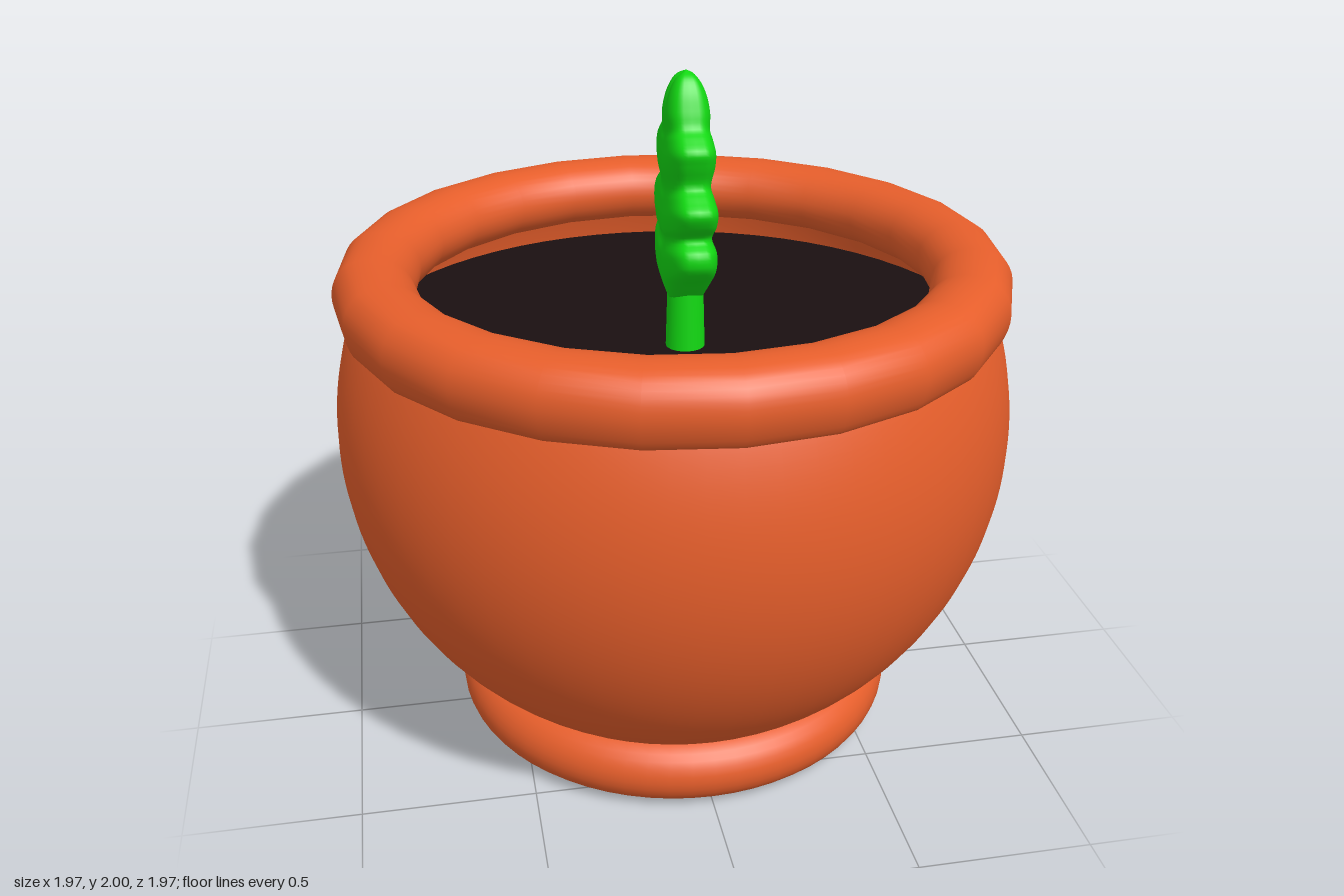
import * as THREE from 'three';

const clay = new THREE.MeshStandardMaterial({ color: 0xe65e2b, side: THREE.DoubleSide });
const earth = new THREE.MeshStandardMaterial({ color: 0x1a1011 });
const green = new THREE.MeshStandardMaterial({ color: 0x12d812 });

// Points along a circular arc in the (radius, height) plane
function arc(cx, cy, r, from, to, steps) {
  return Array.from({ length: steps + 1 }, (_, i) => {
    const a = from + (to - from) * i / steps;
    return new THREE.Vector2(cx + r * Math.cos(a), cy + r * Math.sin(a));
  });
}

// Leaf: swept-up cross-sections, scalloped into lobes along the height
function leafGeometry() {
  // edge height, half width, half thickness
  const rows = [
    [1.36, 0.04, 0.05], [1.42, 0.11, 0.066], [1.49, 0.185, 0.077], [1.535, 0.185, 0.077],
    [1.565, 0.145, 0.066], [1.61, 0.185, 0.075], [1.655, 0.205, 0.077], [1.685, 0.165, 0.07],
    [1.71, 0.13, 0.063], [1.77, 0.15, 0.073], [1.81, 0.16, 0.074], [1.84, 0.125, 0.068],
    [1.86, 0.095, 0.062], [1.9, 0.08, 0.064], [1.95, 0.06, 0.053], [1.985, 0.035, 0.032], [2, 0.001, 0.001],
  ];
  const curve = new THREE.CatmullRomCurve3(rows.map(r => new THREE.Vector3(...r)));
  const sections = 72, around = 40, sweep = 0.3;
  const positions = [], indices = [];
  for (let i = 0; i <= sections; i++) {
    const p = curve.getPoint(i / sections);
    for (let j = 0; j < around; j++) {
      const a = j / around * Math.PI * 2;
      const u = Math.cos(a), s = Math.sin(a);
      // blunt, puffy section with a shallow groove down the middle
      const groove = 1 - 0.12 * Math.exp(-((u / 0.14) ** 2));
      const x = p.z * Math.sign(s) * Math.abs(s) ** 0.6 * groove;
      positions.push(x, p.x - sweep * p.y * (1 - Math.abs(u)), p.y * u);
      if (i < sections) {
        const k = i * around, n = (j + 1) % around;
        indices.push(k + j, k + n, k + around + j, k + n, k + around + n, k + around + j);
      }
    }
  }
  // close the underside
  const c = positions.length / 3;
  positions.push(0, 1.35, 0);
  for (let j = 0; j < around; j++) indices.push(c, (j + 1) % around, j);
  const g = new THREE.BufferGeometry();
  g.setAttribute('position', new THREE.Float32BufferAttribute(positions, 3));
  g.setIndex(indices);
  g.computeVertexNormals();
  return g;
}

export function createModel() {
  const model = new THREE.Group();
  model.name = 'pottedSeedling';
  const add = (name, geometry, material, parent = model) => {
    const mesh = new THREE.Mesh(geometry, material);
    mesh.name = name;
    parent.add(mesh);
    return mesh;
  };

  // Round body, open under the rim
  const R = 0.985, midY = 0.97;
  add('body', new THREE.LatheGeometry(
    arc(0, midY, R, -Math.asin(0.85 / R), Math.asin(0.42 / R), 40), 64), clay);

  // Foot ring with a flat closed underside
  add('foot', new THREE.LatheGeometry([
    new THREE.Vector2(0, 0),
    ...arc(0.57, 0.1, 0.1, -Math.PI / 2, Math.PI / 2, 14),
    new THREE.Vector2(0.45, 0.2),
  ], 64), clay);

  // Rolled rim with coarse sides, its seam hidden inside the wall
  const rimProfile = [
    [0.85, 1.3], [0.9, 1.298], [0.935, 1.303], [0.957, 1.345], [0.965, 1.395], [0.953, 1.445],
    [0.915, 1.486], [0.85, 1.5], [0.79, 1.486], [0.75, 1.45], [0.735, 1.4], [0.75, 1.35],
    [0.79, 1.314], [0.85, 1.3],
  ].map(p => new THREE.Vector2(...p));
  add('rim', new THREE.LatheGeometry(new THREE.SplineCurve(rimProfile).getPoints(39), 24), clay);

  // Soil
  const soil = add('soil', new THREE.CircleGeometry(0.955, 64).rotateX(-Math.PI / 2), earth);
  soil.position.y = 1.2;

  // Seedling
  const seedling = new THREE.Group();
  seedling.name = 'seedling';
  seedling.position.set(0.025, 0, 0.055);
  model.add(seedling);
  add('stem', new THREE.CylinderGeometry(0.05, 0.057, 0.24, 20), green, seedling).position.y = 1.32;
  add('leaf', leafGeometry(), green, seedling);

  return model;
}
